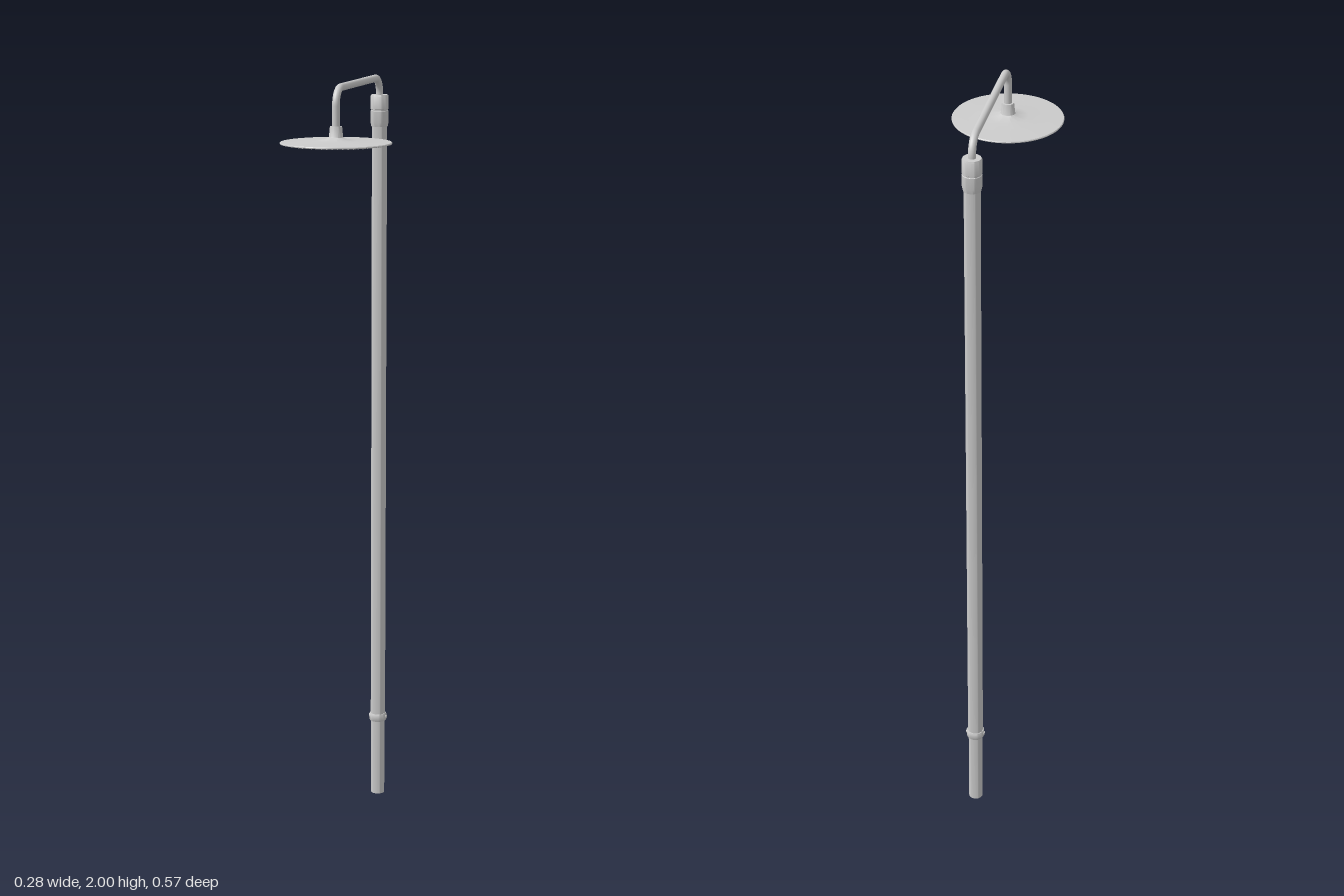
import * as THREE from 'three';
import { mergeGeometries, toCreasedNormals } from 'three/addons/utils/BufferGeometryUtils.js';

const POST_Z = -0.262, HEAD_Z = 0.144;
const material = new THREE.MeshStandardMaterial({ color: 0xcccccc, side: THREE.DoubleSide });

function addMesh(group, name, geometry) {
  const mesh = new THREE.Mesh(geometry, material);
  mesh.name = name;
  group.add(mesh);
  return mesh;
}

// Turned part from [radius, height] pairs, listed bottom to top
function turned(group, name, profile, z, segments = 48) {
  const points = profile.map(([r, y]) => new THREE.Vector2(r, y));
  const geometry = toCreasedNormals(new THREE.LatheGeometry(points, segments), 0.6);
  addMesh(group, name, geometry).position.z = z;
}

export function createModel() {
  const model = new THREE.Group();
  model.name = 'overheadShower';

  // Telescoping post
  turned(model, 'lowerPost', [[0, 0], [0.0185, 0], [0.0185, 0.23]], POST_Z);
  turned(model, 'upperPost', [[0.0185, 0.222], [0.02, 0.222], [0.02, 1.88]], POST_Z);
  turned(model, 'slidingRing', [
    [0.018, 0.214], [0.022, 0.214], [0.0235, 0.217], [0.0235, 0.232], [0.022, 0.235], [0.019, 0.235],
  ], POST_Z);
  // Small locking studs on the ring
  const stud = new THREE.CylinderGeometry(0.005, 0.005, 0.05, 16).rotateZ(Math.PI / 2);
  addMesh(model, 'ringStud', stud).position.set(0, 0.2245, POST_Z);

  // Collar at the post top
  turned(model, 'postCollar', [
    [0.02, 1.862], [0.0215, 1.862], [0.024, 1.874], [0.024, 1.903], [0.0228, 1.904],
    [0.0228, 1.907], [0.024, 1.908], [0.024, 1.941], [0.022, 1.945], [0.009, 1.945],
  ], POST_Z);

  // Bent arm with a rounded corner at each end
  const path = new THREE.CurvePath();
  const v = (y, z) => new THREE.Vector3(0, y, z);
  const top = 1.99, bend = 0.042;
  const a = POST_Z, b = HEAD_Z, k = bend * 0.448;
  path.add(new THREE.LineCurve3(v(1.93, a), v(top - bend, a)));
  path.add(new THREE.CubicBezierCurve3(v(top - bend, a), v(top - k, a), v(top, a + k), v(top, a + bend)));
  path.add(new THREE.LineCurve3(v(top, a + bend), v(top, b - bend)));
  path.add(new THREE.CubicBezierCurve3(v(top, b - bend), v(top, b - k), v(top - k, b), v(top - bend, b)));
  path.add(new THREE.LineCurve3(v(top - bend, b), v(1.885, b)));
  addMesh(model, 'arm', new THREE.TubeGeometry(path, 120, 0.0095, 20, false));

  // Swivel nut joining arm and head
  turned(model, 'swivelNut', [
    [0.02, 1.862], [0.02, 1.868], [0.0175, 1.872], [0.0155, 1.894], [0.0145, 1.898], [0.0095, 1.898],
  ], HEAD_Z);

  // Thin, slightly domed head
  turned(model, 'showerHead', [
    [0, 1.854], [0.134, 1.854], [0.1385, 1.855], [0.139, 1.857], [0.1375, 1.859],
    [0.1, 1.861], [0.05, 1.863], [0.028, 1.866], [0.019, 1.871],
  ], HEAD_Z, 96);

  // Concentric rings of spray nozzles under the head
  const nozzles = [];
  for (let ring = 0; ring <= 10; ring++) {
    const count = Math.max(1, ring * 6);
    for (let i = 0; i < count; i++) {
      const angle = (i / count) * Math.PI * 2, r = ring * 0.0125;
      const nozzle = new THREE.CylinderGeometry(0.0022, 0.0014, 0.002, 10);
      nozzles.push(nozzle.translate(Math.cos(angle) * r, 1.8532, HEAD_Z + Math.sin(angle) * r));
    }
  }
  addMesh(model, 'sprayNozzles', mergeGeometries(nozzles));

  return model;
}
